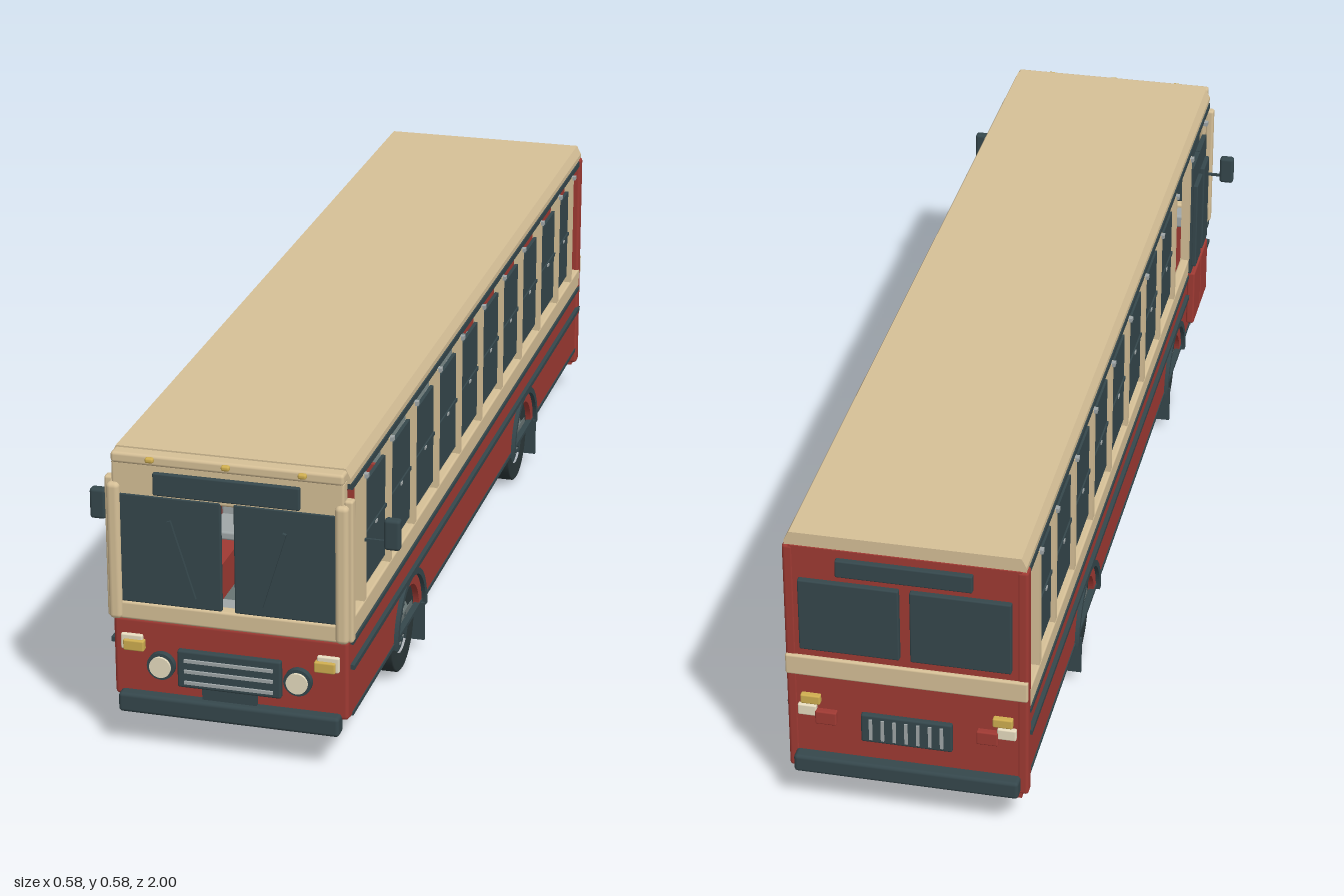
import * as THREE from 'three';
import { RoundedBoxGeometry } from 'three/addons/geometries/RoundedBoxGeometry.js';

const mat = (name, color) => Object.assign(new THREE.MeshStandardMaterial({ color }), { name });

export function createModel() {
  const bus = new THREE.Group();
  bus.name = 'bus';
  const red = mat('body red', 0x9f3a33), tan = mat('cream trim', 0xd6c097), dark = mat('dark slate', 0x35474c);
  const grey = mat('metal grey', 0xa0a7a8), gold = mat('amber', 0xcfae50), pale = mat('lamp ivory', 0xeadfc2);
  const tyreMat = mat('tyre', 0x2b3739), floorMat = mat('floor grey', 0x687473);

  const add = (name, geo, m, x = 0, y = 0, z = 0, parent = bus) => {
    const mesh = new THREE.Mesh(geo, m);
    mesh.name = name;
    mesh.position.set(x, y, z);
    parent.add(mesh);
    return mesh;
  };
  // Box given by its limits on each axis; r rounds the edges
  const box = (name, m, x0, x1, y0, y1, z0, z1, r = 0) => {
    const s = [Math.abs(x1 - x0), y1 - y0, Math.abs(z1 - z0)];
    const geo = r ? new RoundedBoxGeometry(...s, 2, r) : new THREE.BoxGeometry(...s);
    return add(name, geo, m, (x0 + x1) / 2, (y0 + y1) / 2, (z0 + z1) / 2);
  };
  const axles = [0.548, -0.42];
  const posts = [0.875, 0.697, 0.518, 0.34, 0.161, -0.018, -0.197, -0.376, -0.554, -0.733, -0.873];

  // Lower side wall with wheel openings, drawn in (z, y)
  const wallShape = new THREE.Shape();
  wallShape.moveTo(-0.96, 0.1);
  for (const z of [...axles].reverse()) {
    wallShape.lineTo(z - 0.08, 0.1);
    wallShape.absarc(z, 0.09, 0.08, Math.PI - 0.12, 0.12, true);
  }
  wallShape.lineTo(0.965, 0.1);
  wallShape.lineTo(0.965, 0.25);
  wallShape.lineTo(-0.96, 0.25);
  const wallGeo = new THREE.ExtrudeGeometry(wallShape, { depth: 0.012, bevelEnabled: false, curveSegments: 20 });
  wallGeo.rotateY(-Math.PI / 2);

  // Wheel arch trim, drawn in (z, y)
  const archShape = new THREE.Shape();
  archShape.absarc(0, 0, 0.112, 0, Math.PI, false);
  archShape.absarc(0, 0, 0.1, Math.PI, 0, true);
  const archGeo = new THREE.ExtrudeGeometry(archShape, { depth: 0.012, bevelEnabled: false, curveSegments: 24 });
  archGeo.rotateY(-Math.PI / 2);

  // Tyre and hub, turned about x
  const tyreGeo = new THREE.LatheGeometry([[0.05, -0.025], [0.083, -0.0275], [0.086, -0.025],
    [0.086, 0.025], [0.083, 0.0275], [0.05, 0.025]].map(p => new THREE.Vector2(...p)), 32);
  tyreGeo.rotateZ(-Math.PI / 2);
  const disc = (r, len, n = 24) => new THREE.CylinderGeometry(r, r, len, n).rotateZ(Math.PI / 2);
  const wheel = (x, z, s) => {
    const g = new THREE.Group();
    g.name = 'wheel';
    g.position.set(x, 0.086, z);
    bus.add(g);
    add('tyre', tyreGeo, tyreMat, 0, 0, 0, g);
    add('rim', disc(0.051, 0.04), dark, 0, 0, 0, g);
    add('hubcap', disc(0.037, 0.046), grey, 0, 0, 0, g);
    add('hubCentre', disc(0.013, 0.054, 16), dark, 0, 0, 0, g);
    for (let i = 0; i < 8; i++) {
      const a = i * Math.PI / 4;
      add('wheelNut', disc(0.005, 0.006, 6), dark, s * 0.024, 0.025 * Math.sin(a), 0.025 * Math.cos(a), g);
    }
  };

  // Floor, and roof with chamfered edges
  box('floor', floorMat, -0.208, 0.208, 0.097, 0.112, -0.96, 0.96);
  const roofShape = new THREE.Shape([[-0.22, 0.548], [0.22, 0.548], [0.22, 0.558], [0.211, 0.576], [-0.211, 0.576],
    [-0.22, 0.558]].map(p => new THREE.Vector2(...p)));
  add('roof', new THREE.ExtrudeGeometry(roofShape, { depth: 1.928, bevelEnabled: false }), tan, 0, 0, -0.972);

  for (const s of [1, -1]) {
    const left = s > 0;
    add('sideWall', wallGeo, red, left ? 0.22 : -0.208, 0, 0);
    for (const [z0, z1] of left ? [[-0.96, 0.962]] : [[-0.96, 0.695], [0.88, 0.962]]) {
      box('waistBand', tan, s * 0.206, s * 0.225, 0.252, 0.292, z0, z1, 0.004);
      box('waistSeam', dark, s * 0.215, s * 0.226, 0.242, 0.25, z0, z1);
      box('sideRubStrip', dark, s * 0.218, s * 0.228, 0.193, 0.202, z0, z1);
    }
    box('sillStrip', dark, s * 0.21, s * 0.222, 0.096, 0.103, -0.95, 0.95);
    box('roofRail', tan, s * 0.2, s * 0.212, 0.536, 0.55, -0.96, 0.96);
    box('rainGutter', dark, s * 0.21, s * 0.222, 0.535, 0.547, -0.95, 0.95);

    // Window posts and panes; the door takes the place of some on the right
    posts.forEach((z, i) => {
      if (left || i !== 0) box('windowPost', tan, s * 0.207, s * 0.224, 0.285, 0.536, z - 0.009, z + 0.009);
      box('postBracket', grey, s * 0.218, s * 0.23, 0.529, 0.537, z - 0.006, z + 0.006);
      if (i === posts.length - 1 || (!left && i < 2)) return;
      const a = posts[i + 1] + 0.014, b = z - 0.014, mid = (a + b) / 2;
      box('windowPane', dark, s * 0.21, s * 0.217, 0.308, 0.505, a, b);
      box('windowDivider', dark, s * 0.208, s * 0.22, 0.404, 0.411, a, b);
      box('windowLatch', grey, s * 0.216, s * 0.222, 0.405, 0.41, mid - 0.006, mid + 0.006);
    });

    // Wheels, arches and mud flaps
    for (const z of axles) {
      wheel(s * 0.181, z, s);
      add('wheelArch', archGeo, dark, left ? 0.228 : -0.216, 0.09, z);
      box('wheelBox', red, s * 0.14, s * 0.15, 0.1, 0.185, z - 0.1, z + 0.1);
      box('wheelBoxTop', red, s * 0.14, s * 0.208, 0.175, 0.185, z - 0.1, z + 0.1);
      box('mudFlap', dark, s * 0.155, s * 0.229, 0.022, 0.1, z - 0.091, z - 0.085);
    }

    // Front face, mirrored halves
    box('windscreenPillar', tan, s * 0.198, s * 0.223, 0.25, 0.515, 0.957, 0.988, 0.009);
    box('pillarFlange', tan, s * 0.212, s * 0.229, 0.25, 0.523, 0.955, 0.975, 0.005);
    box('windscreen', dark, s * 0.012, s * 0.2, 0.285, 0.495, 0.97, 0.98, 0.003);
    const wiper = box('wiper', dark, s * 0.081, s * 0.088, 0.302, 0.455, 0.98, 0.986);
    wiper.rotation.z = -s * 0.297;
    for (const [n, m, r, z] of [['headlampRing', dark, 0.026, 0.98], ['headlamp', pale, 0.02, 0.985]])
      add(n, new THREE.CylinderGeometry(r, r, 0.02, 28).rotateX(Math.PI / 2), m, s * 0.128, 0.165, z - 0.005);
    box('indicatorSurround', pale, s * 0.163, s * 0.204, 0.19, 0.22, 0.968, 0.98, 0.003);
    box('indicator', gold, s * 0.159, s * 0.198, 0.19, 0.211, 0.97, 0.986, 0.003);

    // Mirrors
    box('mirrorArm', dark, s * 0.215, s * 0.27, 0.407, 0.412, 0.874, 0.879);
    box('mirror', dark, s * 0.26, s * 0.29, 0.396, 0.455, 0.866, 0.886, 0.006);

    // Rear face, mirrored halves
    box('rearCorner', red, s * 0.203, s * 0.224, 0.068, 0.55, -0.976, -0.948, 0.006);
    box('rearWindow', dark, s * 0.01, s * 0.195, 0.337, 0.485, -0.986, -0.972, 0.003);
    box('rearIndicator', gold, s * 0.16, s * 0.197, 0.217, 0.236, -0.986, -0.972, 0.003);
    box('reverseLamp', pale, s * 0.168, s * 0.203, 0.19, 0.213, -0.984, -0.972, 0.003);
    box('tailLamp', red, s * 0.13, s * 0.17, 0.176, 0.204, -0.987, -0.972, 0.003);

    // Passenger seats with legs
    for (let i = left ? 1 : 2; i < posts.length - 1; i++) {
      const z = posts[i] - 0.09;
      box('seatCushion', grey, s * 0.07, s * 0.2, 0.19, 0.208, z - 0.045, z + 0.045, 0.005);
      box('seatBack', grey, s * 0.07, s * 0.2, 0.2, 0.286, z - 0.058, z - 0.044, 0.005);
      for (const x of [0.08, 0.135]) box('seatLeg', dark, s * x, s * (x + 0.007), 0.087, 0.19, z - 0.004, z + 0.004);
    }
  }

  // Front centre
  box('frontPanel', red, -0.219, 0.219, 0.095, 0.25, 0.95, 0.973, 0.007);
  box('frontBand', tan, -0.222, 0.222, 0.25, 0.285, 0.955, 0.981, 0.005);
  box('frontHeader', tan, -0.214, 0.214, 0.488, 0.557, 0.953, 0.978, 0.005);
  box('frontBrow', tan, -0.214, 0.214, 0.552, 0.573, 0.945, 0.981, 0.006);
  box('destinationSign', dark, -0.135, 0.135, 0.499, 0.542, 0.97, 0.986, 0.003);
  for (const x of [-0.14, 0, 0.14]) box('markerLamp', gold, x - 0.008, x + 0.008, 0.56, 0.57, 0.972, 0.988, 0.004);
  box('grille', dark, -0.097, 0.097, 0.128, 0.201, 0.965, 0.984, 0.004);
  for (const y of [0.14, 0.162, 0.183]) box('grilleBar', grey, -0.083, 0.083, y - 0.003, y + 0.003, 0.98, 0.988);
  box('numberPlate', dark, -0.051, 0.051, 0.1, 0.13, 0.968, 0.982);
  box('frontBumper', dark, -0.207, 0.207, 0.07, 0.108, 0.962, 0.995, 0.007);

  // Rear centre
  box('rearPanel', red, -0.212, 0.212, 0.06, 0.55, -0.975, -0.955);
  box('rearBand', tan, -0.224, 0.224, 0.276, 0.318, -0.982, -0.97, 0.004);
  box('rearSign', dark, -0.125, 0.125, 0.5, 0.535, -0.986, -0.972, 0.003);
  box('rearGrille', dark, -0.085, 0.085, 0.148, 0.208, -0.985, -0.972, 0.004);
  for (let i = 0; i < 7; i++) {
    const x = (i - 3) * 0.022;
    box('rearVent', grey, x - 0.003, x + 0.003, 0.156, 0.2, -0.988, -0.98);
  }
  box('rearBumper', dark, -0.21, 0.21, 0.072, 0.108, -1, -0.965, 0.007);

  // Folding door on the right side, with step
  for (const [z0, z1] of [[0.706, 0.789], [0.792, 0.875]]) {
    box('doorLower', red, -0.237, -0.22, 0.125, 0.25, z0, z1, 0.004);
    box('doorFrame', dark, -0.228, -0.218, 0.25, 0.506, z0, z1);
    box('doorGlass', dark, -0.237, -0.226, 0.262, 0.46, z0 + 0.01, z1 - 0.01, 0.003);
  }
  box('doorStep', grey, -0.218, -0.14, 0.074, 0.088, 0.79, 0.85);

  // Cab, partition and grab poles
  box('dashboard', grey, -0.19, 0.2, 0.25, 0.28, 0.91, 0.955, 0.006);
  box('driverPartition', red, 0.02, 0.205, 0.112, 0.48, 0.692, 0.702);
  box('driverSeat', red, 0.06, 0.17, 0.19, 0.21, 0.74, 0.84, 0.006);
  box('driverSeatBack', red, 0.06, 0.17, 0.2, 0.3, 0.725, 0.742, 0.006);
  const steering = add('steeringWheel', new THREE.TorusGeometry(0.038, 0.004, 8, 28), dark, 0.115, 0.29, 0.885);
  steering.rotation.x = -0.9;
  add('steeringColumn', new THREE.CylinderGeometry(0.006, 0.006, 0.17, 10), dark, 0.115, 0.2, 0.9);
  for (const [x, z] of [[-0.15, 0.67], [-0.06, 0.67], [0.015, 0.69]])
    add('grabPole', new THREE.CylinderGeometry(0.005, 0.005, 0.44, 10), gold, x, 0.33, z);

  return bus;
}
